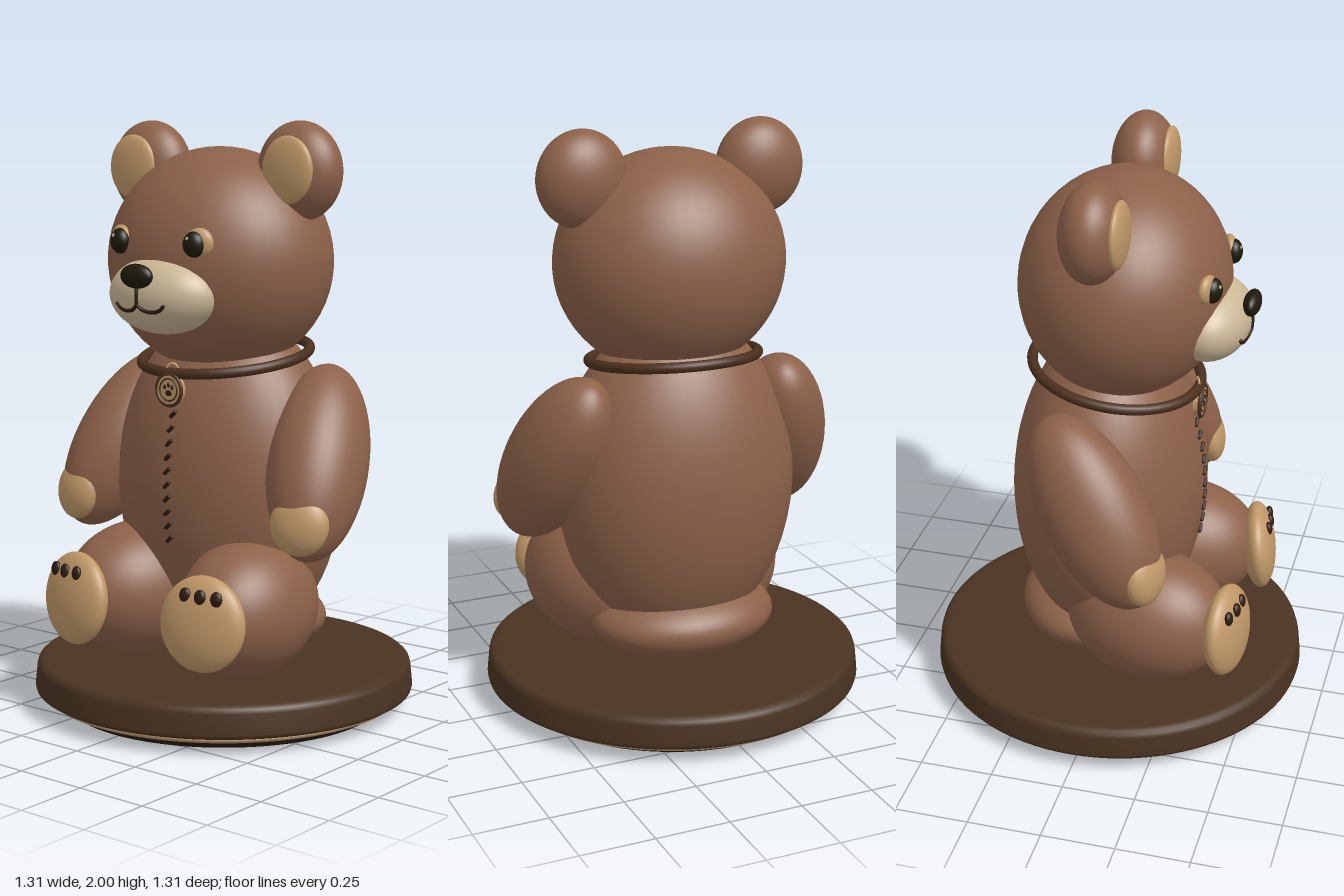
import * as THREE from 'three';

const mat = (name, color) => {
  const m = new THREE.MeshStandardMaterial({ color });
  m.name = name;
  return m;
};

export function createModel() {
  const fur = mat('brown fur', 0x8c6149);
  const tan = mat('tan felt', 0xc09868);
  const cream = mat('cream muzzle', 0xcbb796);
  const black = mat('eye and nose black', 0x1d1a0a);
  const thread = mat('dark thread', 0x2e1b10);
  const leather = mat('collar leather', 0x4a2f1d);
  const wood = mat('base wood', 0x4a3321);
  const under = mat('base underside', 0x2c1c13);

  const model = new THREE.Group();
  model.name = 'seatedBear';

  const add = (name, geo, material, pos = [0, 0, 0], rot = [0, 0, 0], parent = model) => {
    const mesh = new THREE.Mesh(geo, material);
    mesh.name = name;
    mesh.position.set(...pos);
    mesh.rotation.set(...rot);
    parent.add(mesh);
    return mesh;
  };
  const ball = (name, material, pos, radii, rot, parent, seg = 48) =>
    add(name, new THREE.SphereGeometry(1, seg, Math.round(seg * 0.6)).scale(...radii), material, pos, rot, parent);
  const lathe = (name, material, pts) =>
    add(name, new THREE.LatheGeometry(pts.map(p => new THREE.Vector2(...p)), 96), material);

  // Round base: foot, tan trim ring and rounded top slab
  lathe('baseFoot', under, [[0, 0], [0.55, 0], [0.552, 0.002], [0.59, 0.032], [0.59, 0.045]]);
  lathe('baseTrim', tan, [[0.58, 0.034], [0.61, 0.034], [0.621, 0.042], [0.621, 0.05], [0.612, 0.06]]);
  lathe('baseSlab', wood, [[0.57, 0.056], [0.643, 0.056], [0.652, 0.062], [0.655, 0.074],
    [0.648, 0.14], [0.644, 0.154], [0.634, 0.163], [0.62, 0.166], [0.6, 0.166], [0, 0.166]]);

  // Torso and seat
  ball('torso', fur, [0, 0.78, -0.03], [0.42, 0.58, 0.33]);
  ball('seat', fur, [0, 0.305, -0.08], [0.33, 0.13, 0.26]);

  // Head, muzzle and nose
  ball('head', fur, [0, 1.535, 0.02], [0.4, 0.38, 0.352]);
  const mz = { c: [0, 1.437, 0.31], r: [0.207, 0.13, 0.137] };
  ball('muzzle', cream, mz.c, mz.r);
  ball('nose', black, [0, 1.505, 0.446], [0.065, 0.04, 0.029]);

  // Mouth lines laid on the muzzle surface
  const onMuzzle = (x, y) => {
    const u = x / mz.r[0], v = (y - mz.c[1]) / mz.r[1];
    return new THREE.Vector3(x, y, mz.c[2] + mz.r[2] * Math.sqrt(Math.max(0, 1 - u * u - v * v)) + 0.001);
  };
  const line = (name, pts) => {
    const curve = new THREE.CatmullRomCurve3(pts.map(p => onMuzzle(...p)));
    add(name, new THREE.TubeGeometry(curve, 24, 0.0065, 8), thread);
    for (const t of [0, 1]) ball(name + 'End', thread, curve.getPoint(t).toArray(), [0.0065, 0.0065, 0.0065], undefined, model, 10);
  };
  line('mouthCentre', [[0, 1.48], [0, 1.45], [0, 1.413]]);

  for (const s of [1, -1]) {
    const side = s > 0 ? 'left' : 'right';
    line(side + 'Mouth', [[0, 1.413], [s * 0.022, 1.396], [s * 0.052, 1.39], [s * 0.08, 1.396], [s * 0.098, 1.411]]);

    // Ear with inner patch
    ball(side + 'Ear', fur, [s * 0.32, 1.836, 0], [0.155, 0.164, 0.108]);
    ball(side + 'InnerEar', tan, [s * 0.332, 1.842, 0.085], [0.1, 0.11, 0.03]);

    // Eye
    ball(side + 'EyePatch', tan, [s * 0.168, 1.613, 0.331], [0.048, 0.048, 0.024], [0, s * 0.3, 0]);
    ball(side + 'Eye', black, [s * 0.158, 1.608, 0.347], [0.038, 0.042, 0.03], [0, s * 0.2, 0]);
    ball(side + 'EyeGlint', cream, [s * 0.158 - 0.008, 1.626, 0.371], [0.007, 0.007, 0.005], undefined, model, 12);

    // Arm with hand pad
    ball(side + 'Arm', fur, [s * 0.42, 0.89, 0.025], [0.163, 0.35, 0.18], [-0.55, 0, s * 0.22]);
    ball(side + 'HandPad', tan, [s * 0.485, 0.718, 0.213], [0.1, 0.104, 0.056], [-0.15, s * 0.25, s * 0.2]);

    // Leg with foot pad and toes
    ball(side + 'Leg', fur, [s * 0.238, 0.4, 0.165], [0.218, 0.231, 0.29], [0, s * 0.16, 0]);
    const foot = new THREE.Group();
    foot.name = side + 'Foot';
    foot.position.set(s * 0.277, 0.403, 0.45);
    foot.rotation.set(-0.11, s * 0.17, 0);
    model.add(foot);
    ball(side + 'FootPad', tan, [0, 0, 0], [0.154, 0.157, 0.06], undefined, foot);
    for (const i of [-1, 0, 1])
      ball(side + 'Toe', thread, [s * 0.01 + i * 0.057, 0.092, i ? 0.043 : 0.048], [0.021, 0.025, 0.013], undefined, foot, 20);
  }

  // Collar, higher at the back
  add('collar', new THREE.TorusGeometry(0.287, 0.018, 16, 80), leather, [0, 1.213, -0.01], [Math.PI / 2 + 0.135, 0, 0]);

  // Round tag hanging on a small ring, with a simple paw
  const tag = new THREE.Group();
  tag.name = 'collarTag';
  tag.position.set(0, 1.12, 0.278);
  model.add(tag);
  add('tagDisc', new THREE.CylinderGeometry(0.052, 0.052, 0.026, 40), tan, [0, 0, 0], [Math.PI / 2, 0, 0], tag);
  add('tagRim', new THREE.TorusGeometry(0.053, 0.006, 10, 40), leather, [0, 0, 0.01], [0, 0, 0], tag);
  add('tagInnerRim', new THREE.TorusGeometry(0.037, 0.003, 8, 36), leather, [0, 0, 0.013], [0, 0, 0], tag);
  add('tagRing', new THREE.TorusGeometry(0.018, 0.004, 8, 24), tan, [0, 0.068, -0.008], [0, 0.5, 0], tag);
  ball('tagPawPad', thread, [0, -0.011, 0.013], [0.014, 0.01, 0.004], undefined, tag, 16);
  for (const i of [-1, 0, 1])
    ball('tagPawToe', thread, [i * 0.016, i ? 0.009 : 0.016, 0.013], [0.006, 0.008, 0.004], undefined, tag, 12);

  // Slanted stitches down the belly
  for (let i = 0; i < 10; i++) {
    const y = 1.035 - i * 0.0465;
    const z = -0.03 + 0.33 * Math.sqrt(1 - ((y - 0.78) / 0.58) ** 2);
    add('stitch', new THREE.CapsuleGeometry(0.007, 0.022, 4, 10), thread, [0, y, z + 0.003], [0, 0, -0.85]);
  }

  return model;
}
